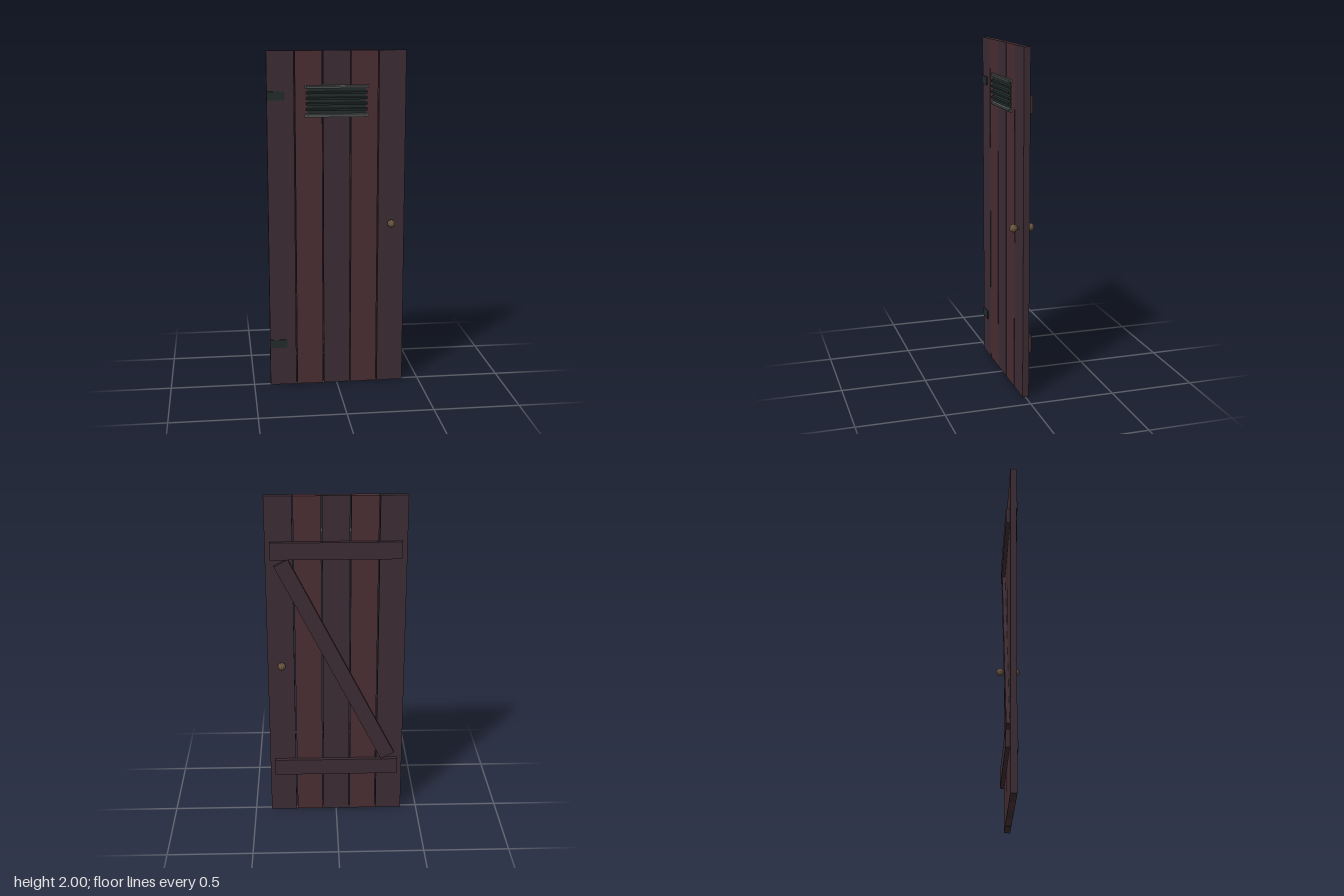
import * as THREE from 'three';

const paint = (color) => new THREE.MeshStandardMaterial({ color });

export function createModel() {
  const door = new THREE.Group();
  door.name = 'plankDoor';

  const darkWood = paint(0x3c2c33);
  const redWood = paint(0x4a2e32);
  const iron = paint(0x232d2c);
  const steel = paint(0x565a58);
  const brass = paint(0x6b5740);
  brass.flatShading = true;

  // Box given by its low and high corners
  const box = (name, mat, [x0, y0, z0], [x1, y1, z1]) => {
    const mesh = new THREE.Mesh(new THREE.BoxGeometry(x1 - x0, y1 - y0, z1 - z0), mat);
    mesh.position.set((x0 + x1) / 2, (y0 + y1) / 2, (z0 + z1) / 2);
    mesh.name = name;
    door.add(mesh);
    return mesh;
  };

  // Five upright planks with narrow gaps
  for (let i = 0; i < 5; i++) {
    const x = (i - 2) * 0.162;
    box('plank', i % 2 ? redWood : darkWood, [x - 0.078, 0, -0.02], [x + 0.078, 2, 0.017]);
  }

  // Z-shaped bracing on the back
  for (const y of [0.31, 1.69]) {
    box('crossBatten', darkWood, [-0.373, y - 0.05, -0.045], [0.373, y + 0.05, -0.02]);
  }
  const brace = box('diagonalBrace', darkWood, [-0.045, 0.306, -0.04], [0.045, 1.694, -0.02]);
  brace.rotation.z = -Math.atan2(1, 1.98);

  // Hinge straps on the front
  for (const y of [0.26, 1.745]) {
    box('hinge', iron, [-0.403, y - 0.025, 0.016], [-0.3, y + 0.025, 0.022]);
  }

  // Louvred vent: backing, rails and tilted slats
  box('ventBacking', iron, [-0.168, 1.63, 0.016], [0.168, 1.8, 0.02]);
  for (const y of [1.63, 1.797]) {
    box('ventRail', steel, [-0.186, y - 0.009, 0.016], [0.186, y + 0.009, 0.026]);
  }
  for (let i = 0; i < 6; i++) {
    const y = 1.634 + i * 0.032;
    const slat = box('ventSlat', i === 0 || i === 5 ? steel : iron,
      [-0.176, y - 0.006, 0.016], [0.176, y + 0.006, 0.032]);
    slat.rotation.x = 0.25;
  }

  // Faceted knobs on a shared spindle
  for (const side of [1, -1]) {
    const knob = new THREE.Mesh(new THREE.IcosahedronGeometry(0.024, 1), brass);
    knob.name = 'knob';
    knob.position.set(0.32, 0.99, side * 0.049);
    door.add(knob);
  }
  const spindle = new THREE.Mesh(new THREE.CylinderGeometry(0.008, 0.008, 0.09, 8), brass);
  spindle.name = 'knobSpindle';
  spindle.rotation.x = Math.PI / 2;
  spindle.position.set(0.32, 0.99, 0);
  door.add(spindle);

  return door;
}
